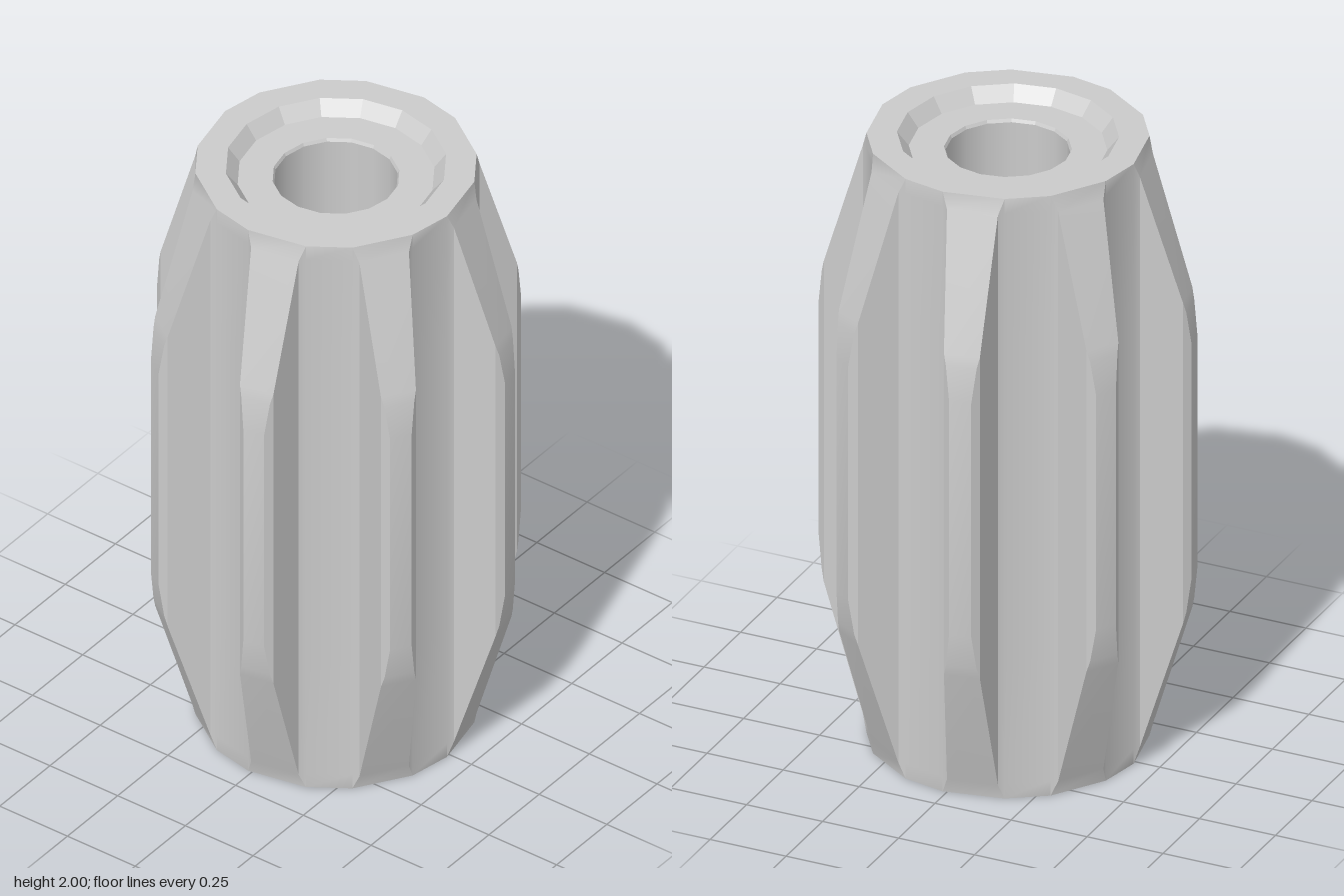
import * as THREE from 'three';
import { toCreasedNormals } from 'three/addons/utils/BufferGeometryUtils.js';

const TEETH = 8;
// half of a tooth's cross-section: [distance from axis, half width], root to tip
const HALF = [[0.409, 0.095], [0.424, 0.078], [0.55, 0.055], [0.571, 0.034]];
// [height above or below the ends, greatest tooth distance from axis]
const TAPER = [[0, 0.409], [0.05, 0.424], [0.465, 0.55], [0.5, 0.558], [0.61, 0.571]];

// half width of a tooth at a given distance from the axis
function halfWidth(u) {
  for (let i = 1; i < HALF.length; i++) {
    const [u0, v0] = HALF[i - 1], [u1, v1] = HALF[i];
    if (u <= u1) return v0 + (v1 - v0) * (u - u0) / (u1 - u0);
  }
  return HALF[HALF.length - 1][1];
}

// one closed outline of the toothed body, with the teeth cut off at a limit
function outline(limit, points = HALF) {
  const loop = [];
  for (let k = 0; k < TEETH; k++) {
    const a = (k + 0.25) * 2 * Math.PI / TEETH;
    const add = (u, v) => loop.push([
      u * Math.sin(a) + v * Math.cos(a), u * Math.cos(a) - v * Math.sin(a)]);
    const cut = points.map(([u]) => Math.min(u, limit));
    cut.forEach(u => add(u, -halfWidth(u)));
    cut.reverse().forEach(u => add(u, halfWidth(u)));
  }
  return loop;
}

function toothedShell() {
  const levels = [...TAPER, ...TAPER.map(([y, r]) => [2 - y, r]).reverse()];
  const pos = [], index = [];
  const n = TEETH * HALF.length * 2;
  levels.forEach(([y, r], j) => {
    outline(r).forEach(([x, z]) => pos.push(x, y, z));
    if (j === 0) return;
    for (let i = 0; i < n; i++) {
      const a = (j - 1) * n + i, b = (j - 1) * n + (i + 1) % n;
      index.push(a, b, b + n, a, b + n, a + n);
    }
  });
  const g = new THREE.BufferGeometry();
  g.setAttribute('position', new THREE.Float32BufferAttribute(pos, 3));
  g.setIndex(index);
  return toCreasedNormals(g, 0.6);
}

// flat end ring; side is 1 for the top and -1 for the bottom
function endRing(side) {
  const shape = new THREE.Shape(
    outline(0.409, [HALF[0]]).map(([x, z]) => new THREE.Vector2(x, -side * z)));
  const hole = [];
  for (let i = 0; i < 16; i++) {
    const a = i * Math.PI / 8;
    hole.push(new THREE.Vector2(0.33 * Math.cos(a), 0.33 * Math.sin(a)));
  }
  shape.holes.push(new THREE.Path(hole));
  return new THREE.ShapeGeometry(shape).rotateX(-side * Math.PI / 2)
    .translate(0, side > 0 ? 2 : 0, 0);
}

export function createModel() {
  const group = new THREE.Group();
  const smooth = new THREE.MeshStandardMaterial({ color: 0xcccccc });
  const flat = new THREE.MeshStandardMaterial({ color: 0xcccccc, flatShading: true });
  const add = (name, geometry, material) => {
    const mesh = new THREE.Mesh(geometry, material);
    mesh.name = name;
    group.add(mesh);
  };
  const lathe = pts => new THREE.LatheGeometry(
    pts.map(([r, y]) => new THREE.Vector2(r, y)), 16);

  add('toothedBody', toothedShell(), smooth);
  add('topRing', endRing(1), flat);
  add('bottomRing', endRing(-1), flat);

  // bevelled recess at each end, stepping down to the bore
  const recess = [[0.33, 2], [0.295, 1.955], [0.19, 1.955], [0.185, 1.945]];
  add('topRecess', lathe(recess), flat);
  add('bottomRecess', lathe(recess.map(([r, y]) => [r, 2 - y]).reverse()), flat);
  add('bore', lathe([[0.185, 1.945], [0.185, 0.055]]), smooth);
  return group;
}
